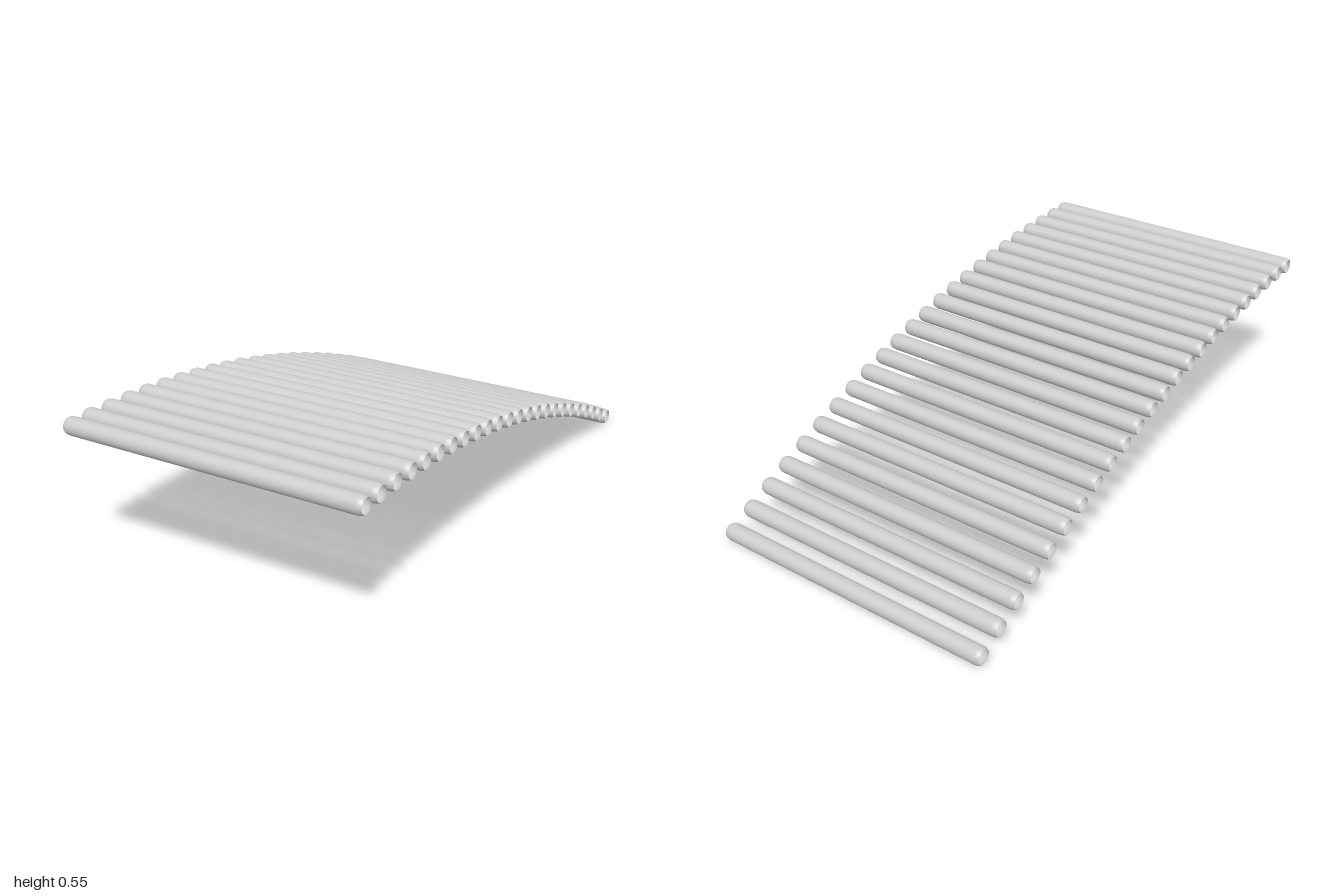
import * as THREE from 'three';

// One open tube along x, its rim drawn in slightly at both ends
function tubeGeometry(radius, halfLength) {
  const profile = [
    [radius - 0.005, -halfLength],
    [radius - 0.0015, -halfLength + 0.008],
    [radius, -halfLength + 0.018],
    [radius, halfLength - 0.018],
    [radius - 0.0015, halfLength - 0.008],
    [radius - 0.005, halfLength],
  ].map(([r, y]) => new THREE.Vector2(r, y));
  return new THREE.LatheGeometry(profile, 32).rotateZ(Math.PI / 2);
}

export function createModel() {
  const group = new THREE.Group();
  group.name = 'curvedSlatPanel';
  const material = new THREE.MeshStandardMaterial({ color: 0xcccccc, side: THREE.DoubleSide });
  const radius = 0.03;
  const geometry = tubeGeometry(radius, 0.517);

  // Slat positions from front to back, a little closer in the middle
  const slatZ = [
    0.97, 0.89, 0.803, 0.716, 0.631, 0.545, 0.461, 0.378, 0.293, 0.211, 0.128, 0.043,
    -0.038, -0.122, -0.203, -0.287, -0.37, -0.455, -0.54, -0.626, -0.712, -0.797, -0.884, -0.97,
  ];

  // Slats fall away from the high front along a shallow parabola
  slatZ.forEach((z, i) => {
    const d = 0.97 - z;
    const slat = new THREE.Mesh(geometry, material);
    slat.name = `slat${i + 1}`;
    slat.position.set(0, 0.521 - 0.0022 * d - 0.1293 * d * d, z);
    group.add(slat);
  });
  // Rest the lowest slat on the ground
  const lowest = Math.min(...group.children.map((s) => s.position.y));
  group.children.forEach((s) => { s.position.y += radius - lowest; });
  return group;
}
